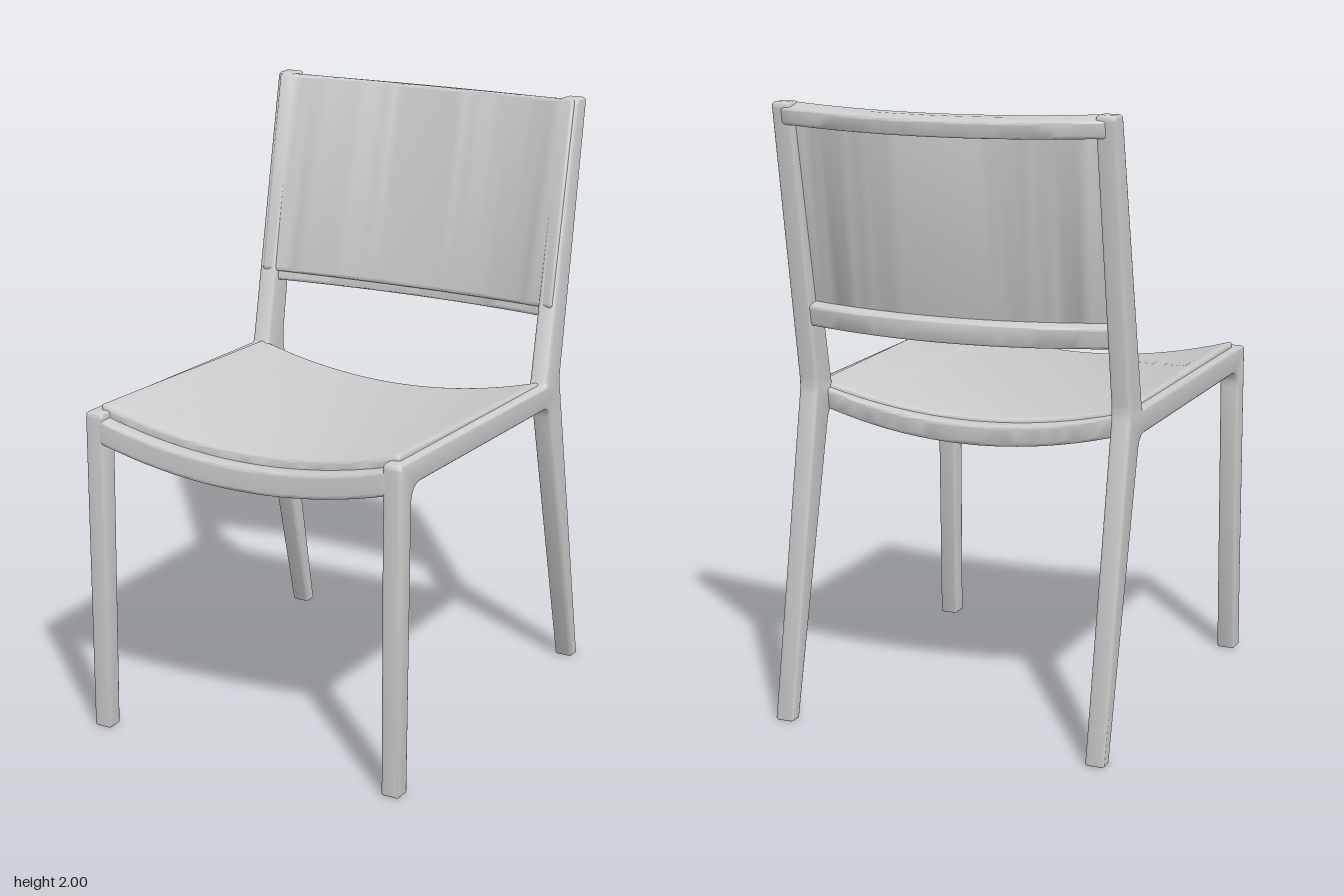
import * as THREE from 'three';
import { toCreasedNormals } from 'three/addons/utils/BufferGeometryUtils.js';

const material = new THREE.MeshStandardMaterial({ color: 0xcccccc });

// Closed outline from [z, y, cornerRadius] points
function roundedOutline(points) {
  const shape = new THREE.Shape();
  const n = points.length;
  points.forEach(([z, y, r], i) => {
    const corner = new THREE.Vector2(z, y);
    const toward = ([a, b]) => new THREE.Vector2(a, b).sub(corner).setLength(r).add(corner);
    const start = toward(points[(i + n - 1) % n]);
    const end = toward(points[(i + 1) % n]);
    if (i === 0) shape.moveTo(start.x, start.y);
    else shape.lineTo(start.x, start.y);
    shape.quadraticCurveTo(corner.x, corner.y, end.x, end.y);
  });
  shape.closePath();
  return shape;
}

// Extrudes a side outline across x, then bows it by (dy, dz) at mid width
function part(name, width, points, { dy = 0, dz = 0, bevel = 0.01, steps = 1, x = 0 } = {}) {
  const geometry = new THREE.ExtrudeGeometry(roundedOutline(points), {
    depth: width - 2 * bevel, steps, curveSegments: 6,
    bevelThickness: bevel, bevelSize: bevel, bevelOffset: -bevel, bevelSegments: 3,
  });
  geometry.translate(0, 0, bevel - width / 2).rotateY(-Math.PI / 2);
  const p = geometry.attributes.position;
  for (let i = 0; i < p.count; i++) {
    const bow = 1 - (2 * p.getX(i) / width) ** 2;
    p.setY(i, p.getY(i) + dy * bow);
    p.setZ(i, p.getZ(i) + dz * bow);
  }
  geometry.translate(x, 0, 0);
  const mesh = new THREE.Mesh(toCreasedNormals(geometry, 0.7), material);
  mesh.name = name;
  return mesh;
}

export function createModel() {
  const chair = new THREE.Group();
  chair.name = 'chair';

  // Side frames: front leg, side rail, rear leg and back post in one outline
  const frame = [
    [0.625, 0, 0.006], [0.68, 0, 0.006], [0.68, 1.085, 0.018],
    [-0.347, 1.066, 0.012], [-0.538, 1.995, 0.015], [-0.608, 1.995, 0.02],
    [-0.452, 1.07, 0.03], [-0.66, 0, 0.006], [-0.615, 0, 0.006],
    [-0.368, 0.985, 0.04], [0.608, 1.005, 0.06],
  ];
  for (const [name, side] of [['leftFrame', 1], ['rightFrame', -1]]) {
    chair.add(part(name, 0.065, frame, { x: side * 0.5375 }));
  }

  // Dished seat
  chair.add(part('seat', 1.08, [
    [0.635, 1.045, 0.015], [0.635, 1.105, 0.015],
    [-0.362, 1.075, 0.015], [-0.362, 1.015, 0.015],
  ], { dy: -0.08, steps: 32, bevel: 0.012 }));

  // Sagging rails under the front and rear of the seat
  chair.add(part('frontRail', 1.06, [
    [0.615, 0.985, 0.015], [0.68, 0.985, 0.015],
    [0.68, 1.069, 0.015], [0.615, 1.069, 0.015],
  ], { dy: -0.076, steps: 32 }));
  chair.add(part('rearRail', 1.06, [
    [-0.32, 0.985, 0.015], [-0.32, 1.06, 0.015],
    [-0.38, 1.055, 0.015], [-0.37, 0.985, 0.015],
  ], { dy: -0.076, dz: -0.025, steps: 32 }));

  // Curved, leaning back panel
  chair.add(part('backPanel', 1.115, [
    [-0.39, 1.32, 0.014], [-0.432, 1.312, 0.014],
    [-0.567, 1.988, 0.014], [-0.525, 1.996, 0.014],
  ], { dy: -0.013, dz: -0.073, steps: 32, bevel: 0.012 }));

  // Rails behind the top and bottom of the panel
  chair.add(part('topBackRail', 1.08, [
    [-0.54, 1.935, 0.012], [-0.597, 1.923, 0.012],
    [-0.607, 1.978, 0.012], [-0.55, 1.99, 0.012],
  ], { dy: -0.01, dz: -0.073, steps: 32 }));
  chair.add(part('bottomBackRail', 1.08, [
    [-0.405, 1.285, 0.012], [-0.472, 1.272, 0.012],
    [-0.486, 1.342, 0.012], [-0.419, 1.355, 0.012],
  ], { dy: -0.01, dz: -0.073, steps: 32 }));

  return chair;
}
